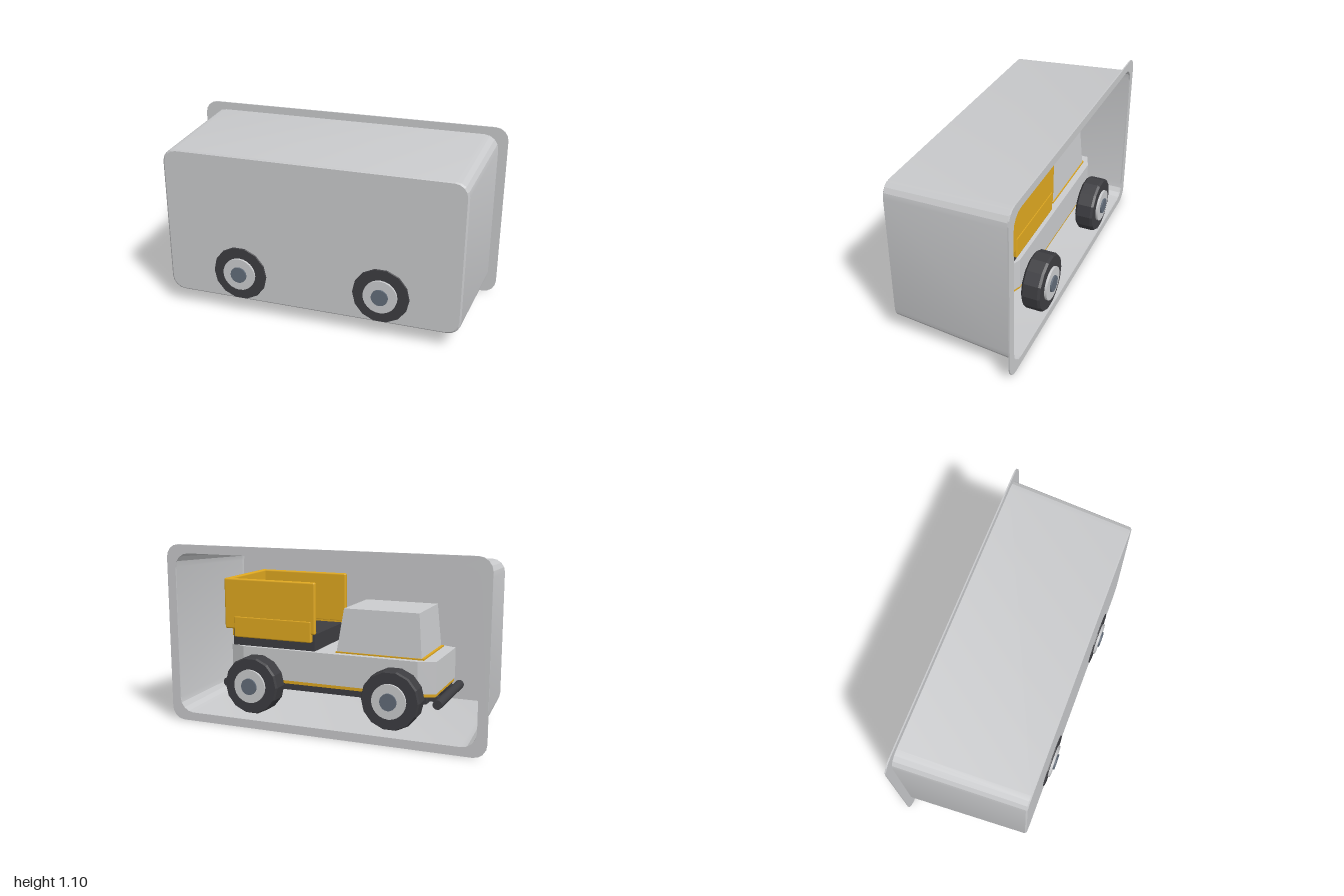
import * as THREE from 'three';
import { toCreasedNormals } from 'three/addons/utils/BufferGeometryUtils.js';
import { RoundedBoxGeometry } from 'three/addons/geometries/RoundedBoxGeometry.js';

const mat = (name, color, extra = {}) => Object.assign(new THREE.MeshStandardMaterial({ color, ...extra }), { name });

// Closed outline with rounded corners
function roundedOutline(w, h, r, steps = 4) {
  const pts = [];
  [[1, 1], [-1, 1], [-1, -1], [1, -1]].forEach(([sx, sy], q) => {
    for (let i = 0; i <= steps; i++) {
      const a = (q + i / steps) * Math.PI / 2;
      pts.push(new THREE.Vector2(sx * (w / 2 - r) + r * Math.cos(a), sy * (h / 2 - r) + r * Math.sin(a)));
    }
  });
  return pts;
}

// Skin between matching outlines, each given as { pts, z }
function loft(rings) {
  const pos = [], index = [], n = rings[0].pts.length;
  for (const { pts, z } of rings) for (const p of pts) pos.push(p.x, p.y, z);
  for (let k = 0; k < rings.length - 1; k++) {
    for (let i = 0; i < n; i++) {
      const a = k * n + i, b = k * n + (i + 1) % n;
      index.push(a, b, b + n, a, b + n, a + n);
    }
  }
  const g = new THREE.BufferGeometry();
  g.setAttribute('position', new THREE.Float32BufferAttribute(pos, 3));
  g.setIndex(index);
  return toCreasedNormals(g, 0.2);
}

export function createModel() {
  const model = new THREE.Group();
  model.name = 'packagedToyTruck';
  const shell = mat('trayGrey', 0xc8c9cb, { side: THREE.DoubleSide });
  const grey = mat('bodyGrey', 0xcbccce);
  const yellow = mat('yellow', 0xdfa820);
  const dark = mat('rubberBlack', 0x3d3d41);
  const steel = mat('capSteel', 0x626c79);

  const add = (parent, name, geo, material, x = 0, y = 0, z = 0) => {
    const m = new THREE.Mesh(geo, material);
    m.name = name;
    m.position.set(x, y, z);
    parent.add(m);
    return m;
  };
  // Box given by its extents
  const box = (parent, name, material, [x0, x1], [y0, y1], [z0, z1], r = 0) => {
    const size = [x1 - x0, y1 - y0, z1 - z0];
    const g = r ? new RoundedBoxGeometry(...size, 2, r) : new THREE.BoxGeometry(...size);
    return add(parent, name, g, material, (x0 + x1) / 2, (y0 + y1) / 2, (z0 + z1) / 2);
  };
  const rod = (parent, name, material, r, length, x, y, z, sides = 16) =>
    add(parent, name, new THREE.CylinderGeometry(r, r, length, sides).rotateX(Math.PI / 2), material, x, y, z);

  // Tray: tapered walls, closed front, open back with a flat rim
  const tray = new THREE.Group();
  tray.name = 'tray';
  model.add(tray);
  const mid = 0.552;
  const face = roundedOutline(1.80, 0.90, 0.075);
  add(tray, 'trayWalls', loft([
    { pts: roundedOutline(1.89, 1.0, 0.09), z: -0.38 },
    { pts: roundedOutline(1.82, 0.916, 0.08), z: 0.377 },
    { pts: face, z: 0.384 },
  ]), shell, 0, mid);
  add(tray, 'trayFront', new THREE.ShapeGeometry(new THREE.Shape(face)), shell, 0, mid, 0.384);
  const rim = new THREE.Shape(roundedOutline(2, 1.1, 0.08));
  rim.holes.push(new THREE.Path(roundedOutline(1.885, 0.995, 0.09).reverse()));
  add(tray, 'trayRim', new THREE.ExtrudeGeometry(rim, { depth: 0.008, bevelEnabled: false }), shell, 0, 0.55, -0.384);

  // Truck, nose towards -x
  const truck = new THREE.Group();
  truck.name = 'truck';
  model.add(truck);

  // Lower body: plan with clipped corners, raised upright
  const plan = (dx, dz, cx, cz) => new THREE.Shape([
    [dx, dz - cz], [dx - cx, dz], [cx - dx, dz], [-dx, dz - cz],
    [-dx, cz - dz], [cx - dx, -dz], [dx - cx, -dz], [dx, cz - dz],
  ].map(([x, y]) => new THREE.Vector2(x, y)));
  const slab = (name, material, shape, y0, y1) => add(truck, name,
    new THREE.ExtrudeGeometry(shape, { depth: y1 - y0, bevelEnabled: false }).rotateX(-Math.PI / 2), material, 0, y0);
  slab('lowerBody', grey, plan(0.66, 0.25, 0.1, 0.04), 0.285, 0.475);
  slab('sillPlate', yellow, plan(0.655, 0.245, 0.1, 0.04), 0.265, 0.285);
  box(truck, 'chassis', dark, [-0.6, 0.6], [0.215, 0.265], [-0.2, 0.2]);

  // Cab, narrowing upwards, on a thin plate
  box(truck, 'cabPlate', yellow, [-0.585, -0.04], [0.475, 0.484], [-0.21, 0.21]);
  const cab = new THREE.BoxGeometry(0.525, 0.26, 0.41);
  const p = cab.attributes.position;
  for (let i = 0; i < p.count; i++) {
    if (p.getY(i) < 0) continue;
    p.setX(i, p.getX(i) > 0 ? 0.222 : -0.24);
    p.setZ(i, p.getZ(i) * 0.92);
  }
  cab.computeVertexNormals();
  add(truck, 'cab', cab, grey, -0.307, 0.612);

  // Load bed, open at the front
  const bed = new THREE.Group();
  bed.name = 'loadBed';
  truck.add(bed);
  box(bed, 'bedFloor', dark, [0.09, 0.64], [0.475, 0.575], [-0.225, 0.225]);
  for (const s of [-1, 1]) {
    const span = (a, b) => (s > 0 ? [a, b] : [-b, -a]);
    box(bed, 'bedSide', yellow, [0.075, 0.683], [0.58, 0.892], span(0.225, 0.255), 0.01);
    box(bed, 'bedSkirt', yellow, [0.1, 0.62], [0.53, 0.66], span(0.226, 0.258), 0.008);
  }
  box(bed, 'bedTail', yellow, [0.65, 0.683], [0.58, 0.892], [-0.25, 0.25], 0.01);
  box(bed, 'bedTailSkirt', yellow, [0.62, 0.65], [0.53, 0.66], [-0.225, 0.225], 0.008);

  // Bumper bars and their brackets
  for (const x of [-0.68, 0.68]) {
    rod(truck, 'bumper', dark, 0.028, 0.5, x, 0.235, 0);
    for (const z of [-0.14, 0.14]) {
      box(truck, 'bumperBracket', dark, [x * 0.93 - 0.04, x * 0.93 + 0.04], [0.225, 0.255], [z - 0.02, z + 0.02]);
    }
  }

  // Wheels: faceted tyre, hub disc and cap, mirrored for the far side
  const sides = 14;
  const profile = [[0, -0.06], [0.155, -0.06], [0.175, -0.045], [0.175, 0.045], [0.168, 0.06], [0, 0.06]]
    .map(([r, h]) => new THREE.Vector2(r, h));
  const tyre = toCreasedNormals(new THREE.LatheGeometry(profile, sides, Math.PI / sides).rotateX(Math.PI / 2), 0.1);
  for (const x of [-0.44, 0.44]) {
    rod(truck, 'axle', dark, 0.03, 0.6, x, 0.267, 0);
    for (const s of [-1, 1]) {
      const wheel = new THREE.Group();
      wheel.name = 'wheel';
      wheel.position.set(x, 0.267, s * 0.331);
      if (s < 0) wheel.rotation.y = Math.PI;
      truck.add(wheel);
      add(wheel, 'tyre', tyre, dark);
      rod(wheel, 'hub', grey, 0.102, 0.02, 0, 0, 0.064, 24);
      rod(wheel, 'hubCap', steel, 0.05, 0.02, 0, 0, 0.074, 20);
    }
  }
  return model;
}
